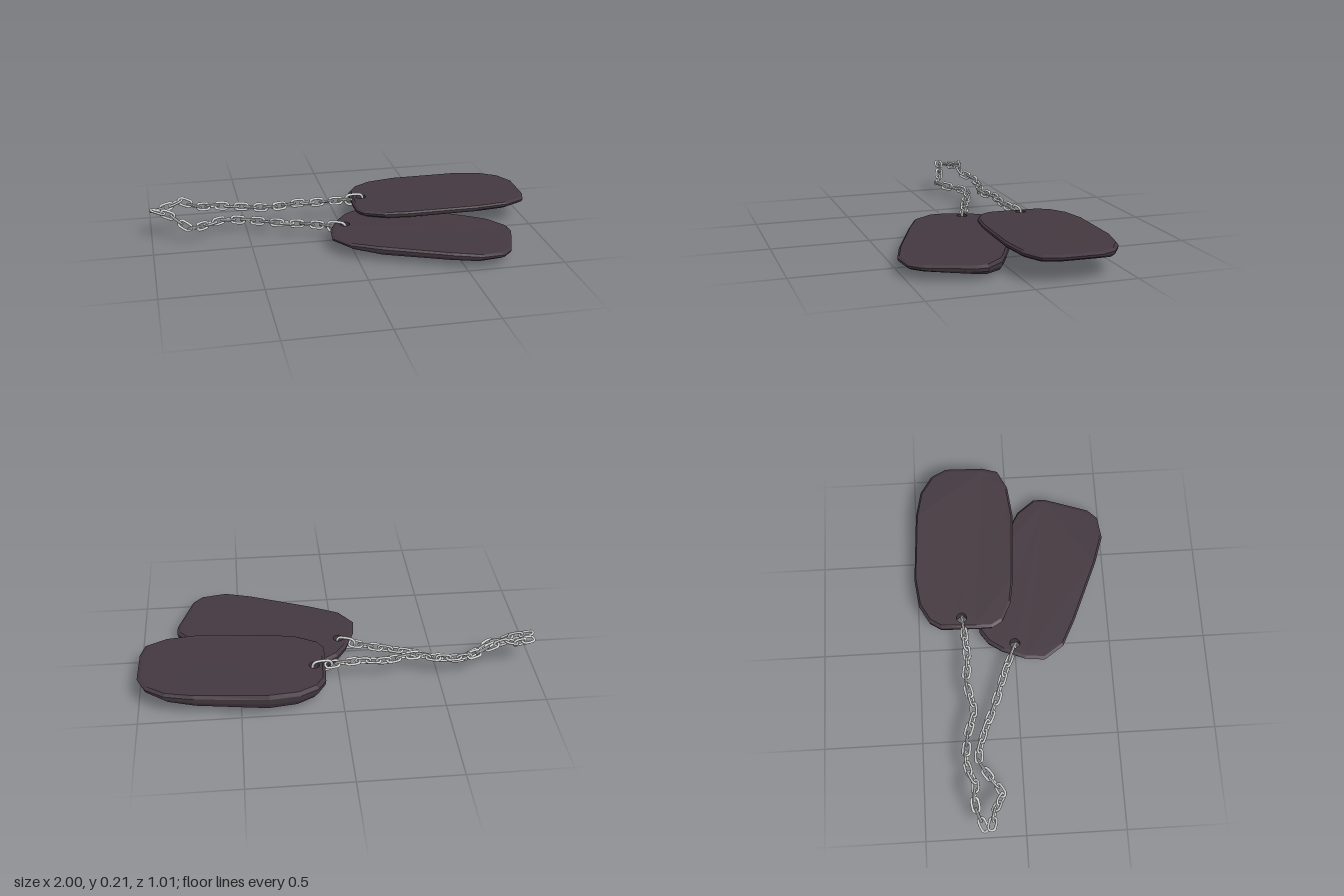
import * as THREE from 'three';

const { clamp, lerp } = THREE.MathUtils;
const tagMaterial = new THREE.MeshStandardMaterial({ color: 0x43383f, side: THREE.DoubleSide });
const chainMaterial = new THREE.MeshStandardMaterial({ color: 0xcccccc });

// Pierced plate: an outline in (x, z), with rule-driven top and bottom surfaces
function makeTag(name, outline, hole, topY, bottomY) {
  const radius = 0.026;
  const shape = new THREE.Shape(outline.map(([x, z]) => new THREE.Vector2(x, -z)));
  const holePath = new THREE.Path();
  holePath.absarc(hole[0], -hole[1], radius, 0, Math.PI * 2, true);
  shape.holes.push(holePath);
  const geometry = new THREE.ExtrudeGeometry(shape, { depth: 1, steps: 3, bevelEnabled: false, curveSegments: 10 });
  geometry.rotateX(-Math.PI / 2);

  const cx = outline.reduce((s, p) => s + p[0], 0) / outline.length;
  const cz = outline.reduce((s, p) => s + p[1], 0) / outline.length;
  const inset = [0.94, 0.99, 1, 0.965]; // rim scale of the four layers
  const level = [0, 0.38, 0.75, 1]; // height share of the four layers
  const pos = geometry.attributes.position;
  for (let i = 0; i < pos.count; i++) {
    let x = pos.getX(i), z = pos.getZ(i);
    const layer = Math.round(pos.getY(i) * 3);
    if (Math.hypot(x - hole[0], z - hole[1]) > radius + 0.004) {
      x = cx + (x - cx) * inset[layer];
      z = cz + (z - cz) * inset[layer];
    }
    const top = topY(x, z);
    const bottom = Math.min(bottomY(x, z), top - 0.033);
    pos.setXYZ(i, x, lerp(bottom, top, level[layer]), z);
  }
  geometry.computeVertexNormals();
  const mesh = new THREE.Mesh(geometry, tagMaterial);
  mesh.name = name;
  return mesh;
}

// Oval link: a torus pulled apart along its length (z)
function linkGeometry(halfWidth, stretch, wire) {
  const geometry = new THREE.TorusGeometry(halfWidth, wire, 8, 20);
  const pos = geometry.attributes.position;
  for (let i = 0; i < pos.count; i++) {
    const x = pos.getX(i);
    pos.setX(i, x + stretch * clamp(x / (halfWidth * 0.4), -1, 1));
  }
  geometry.rotateY(Math.PI / 2);
  geometry.computeVertexNormals();
  return geometry;
}

// Row of interlocked links following a curve
function makeChain(name, points) {
  const chain = new THREE.Group();
  chain.name = name;
  const curve = new THREE.CatmullRomCurve3(points.map(p => new THREE.Vector3(...p)));
  const link = linkGeometry(0.018, 0.018, 0.0065);
  const ring = linkGeometry(0.029, 0.02, 0.007);
  const count = Math.round(curve.getLength() / 0.053);
  for (let i = 0; i <= count; i++) {
    const mesh = new THREE.Mesh(i === 0 ? ring : link, chainMaterial);
    mesh.name = i === 0 ? 'tagRing' : 'chainLink';
    const p = curve.getPointAt(i / count);
    mesh.position.copy(p);
    mesh.lookAt(p.clone().add(curve.getTangentAt(i / count)));
    // Alternate links turn a quarter, with a slow twist along the chain
    if (i > 0) mesh.rotateZ((i % 2) * Math.PI / 2 + 0.35 + 0.3 * Math.sin(i * 0.9));
    chain.add(mesh);
  }
  return chain;
}

export function createModel() {
  const model = new THREE.Group();
  model.name = 'tagsOnChain';

  // Upper tag
  model.add(makeTag('upperTag', [
    [0.08, -0.38], [0.12, -0.44], [0.21, -0.49], [0.36, -0.51], [0.73, -0.49], [0.87, -0.46],
    [0.96, -0.4], [1, -0.32], [0.995, -0.12], [0.97, -0.04], [0.87, 0.01], [0.7, 0.03],
    [0.33, 0.01], [0.2, -0.01], [0.1, -0.06], [0.07, -0.11], [0.07, -0.2],
  ], [0.13, -0.27],
  x => 0.12 + 0.018 * clamp((x - 0.1) / 0.6, 0, 1),
  (x, z) => 0.045 + 0.055 * clamp((z + 0.42) / 0.45, 0, 1) + 0.05 * clamp((x - 0.4) / 0.6, 0, 1)));

  // Lower tag, partly beneath the upper one
  model.add(makeTag('lowerTag', [
    [-0.11, 0.15], [-0.1, 0.05], [-0.05, -0.07], [0, -0.14], [0.06, -0.18], [0.15, -0.19],
    [0.25, -0.17], [0.5, -0.07], [0.68, 0.02], [0.75, 0.06], [0.82, 0.15], [0.82, 0.21],
    [0.74, 0.44], [0.69, 0.49], [0.57, 0.505], [0.43, 0.46], [0.1, 0.32], [-0.04, 0.25],
  ], [-0.015, 0],
  (x, z) => 0.086 - 0.012 * clamp((x - 0.5) / 0.3, 0, 1) - 0.005 * clamp(z / 0.5, 0, 1),
  (x, z) => 0.04 * clamp((z + 0.12) / 0.45, 0, 1) + 0.2 * Math.max(0, 0.1 - x)));

  // One chain strand for each tag
  model.add(makeChain('upperChain', [
    [0.09, 0.112, -0.265], [-0.1, 0.118, -0.25], [-0.22, 0.118, -0.26], [-0.38, 0.118, -0.23],
    [-0.5, 0.118, -0.265], [-0.66, 0.132, -0.275], [-0.76, 0.15, -0.24], [-0.84, 0.182, -0.245],
    [-0.9, 0.165, -0.235], [-0.962, 0.16, -0.21],
  ]));
  model.add(makeChain('lowerChain', [
    [-0.055, 0.066, -0.015], [-0.16, 0.07, -0.06], [-0.33, 0.07, -0.12], [-0.5, 0.07, -0.19],
    [-0.62, 0.072, -0.215], [-0.72, 0.075, -0.16], [-0.8, 0.085, -0.11], [-0.85, 0.11, -0.13],
    [-0.9, 0.145, -0.15], [-0.962, 0.165, -0.165],
  ]));
  return model;
}
